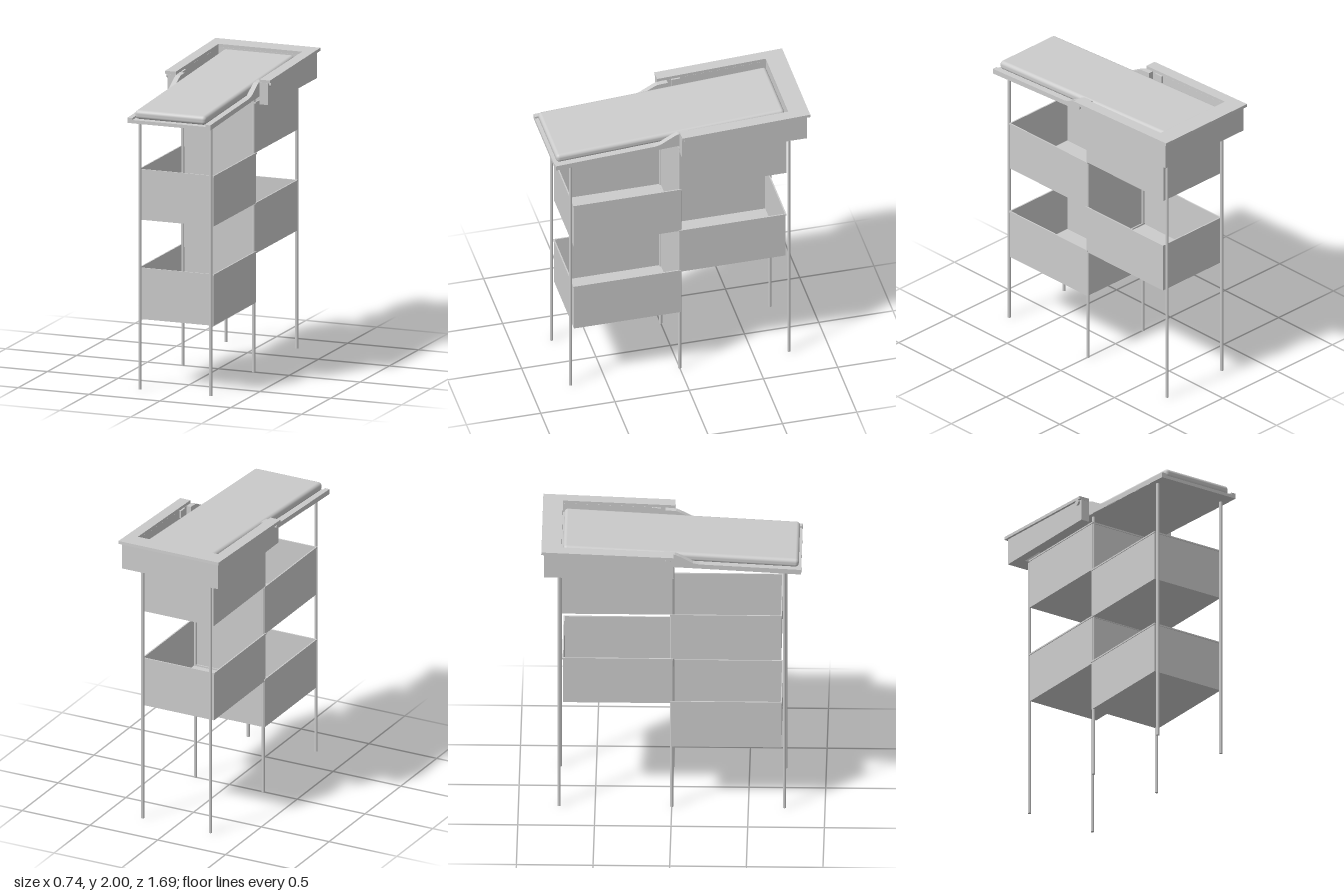
import * as THREE from 'three';
import { RoundedBoxGeometry } from 'three/addons/geometries/RoundedBoxGeometry.js';

const material = new THREE.MeshStandardMaterial({ color: 0xcccccc, side: THREE.DoubleSide });

function add(parent, name, geometry, x = 0, y = 0, z = 0) {
  const mesh = new THREE.Mesh(geometry, material);
  mesh.name = name;
  mesh.position.set(x, y, z);
  parent.add(mesh);
  return mesh;
}

// Box given by its min and max corners
function block(parent, name, [x0, y0, z0], [x1, y1, z1]) {
  const geometry = new THREE.BoxGeometry(x1 - x0, y1 - y0, z1 - z0);
  return add(parent, name, geometry, (x0 + x1) / 2, (y0 + y1) / 2, (z0 + z1) / 2);
}

// Side profile of [z, y] points, extruded across x from x0 to x1
function sideProfile(parent, name, points, x0, x1) {
  const shape = new THREE.Shape(points.map(([z, y]) => new THREE.Vector2(-z, y)));
  const geometry = new THREE.ExtrudeGeometry(shape, { depth: x1 - x0, bevelEnabled: false });
  geometry.rotateY(Math.PI / 2);
  // shape x -> -z, depth -> +x
  return add(parent, name, geometry, x0, 0, 0);
}

// Open-topped bin with thin walls and a narrow rim
function bin(parent, z0, z1, y0, y1) {
  const group = new THREE.Group();
  group.name = 'bin';
  parent.add(group);
  const w = 0.262, t = 0.004;
  block(group, 'binFloor', [-w, y0, z0], [w, y0 + t, z1]);
  const ring = (name, o, thick, a, b) => {
    for (const s of [-1, 1]) {
      const x = s * (w + o - thick / 2);
      block(group, name, [x - thick / 2, a, z0 - o], [x + thick / 2, b, z1 + o]);
    }
    block(group, name, [-w, a, z0 - o], [w, b, z0 - o + thick]);
    block(group, name, [-w, a, z1 + o - thick], [w, b, z1 + o]);
  };
  ring('binWall', 0, t, y0, y1);
  ring('binRim', 0.005, 0.009, y1 - 0.01, y1);
}

export function createModel() {
  const model = new THREE.Group();
  model.name = 'changingTable';

  // Six slender legs
  for (const z of [0.735, 0, -0.735]) {
    const top = z > 0.5 ? 1.815 : 1.85;
    for (const x of [-0.25, 0.25]) {
      add(model, 'leg', new THREE.CylinderGeometry(0.0105, 0.0105, top, 16), x, top / 2, z);
    }
  }

  // Staggered bins
  bin(model, -0.005, 0.715, 0.465, 0.81);
  bin(model, -0.71, 0.005, 0.795, 1.135);
  bin(model, -0.005, 0.715, 1.13, 1.47);
  bin(model, -0.715, 0.005, 1.47, 1.81);

  // Rear surround: side walls and back wall with sloping tops
  const wallTop = (z) => 1.945 - (z - 0.015) * 0.04;
  const wall = (z0, z1) => [[z0, 1.8], [z1, 1.8], [z1, wallTop(z1)], [z0, wallTop(z0)]];
  sideProfile(model, 'surroundSide', wall(0.012, -0.83), 0.295, 0.355);
  sideProfile(model, 'surroundSide', wall(0.012, -0.83), -0.355, -0.295);
  sideProfile(model, 'surroundBack', wall(-0.72, -0.83), -0.295, 0.295);

  // U-shaped sloping cap
  const u = new THREE.Shape([
    [-0.37, -0.012], [-0.37, 0.85], [0.37, 0.85], [0.37, -0.012],
    [0.295, -0.012], [0.295, 0.72], [-0.295, 0.72], [-0.295, -0.012],
  ].map(([x, y]) => new THREE.Vector2(x, y)));
  const capGeometry = new THREE.ExtrudeGeometry(u, { depth: 0.02, bevelEnabled: false });
  capGeometry.rotateX(-Math.PI / 2);
  const cap = add(model, 'surroundCap', capGeometry, 0, 1.946, 0);
  cap.rotation.x = 0.04;

  // Sloping tray under the pad
  sideProfile(model, 'tray',
    [[0.845, 1.803], [-0.72, 1.89], [-0.72, 1.912], [0.845, 1.825]], -0.29, 0.29);

  // Tray side rails that sweep up to the hinges
  const rail = [[0.845, 1.803], [0.845, 1.838], [0.18, 1.873], [0.14, 1.882],
    [0.05, 1.932], [0.02, 1.945], [-0.05, 1.95], [-0.05, 1.855]];
  for (const s of [-1, 1]) {
    const x0 = s > 0 ? 0.258 : -0.292;
    sideProfile(model, 'trayRail', rail, x0, x0 + 0.034);

    // Hinge pin and knob
    const pin = add(model, 'hingePin',
      new THREE.CylinderGeometry(0.012, 0.012, 0.1, 20), s * 0.31, 1.934, -0.022);
    pin.rotation.z = Math.PI / 2;
    const knob = add(model, 'hingeKnob',
      new THREE.CylinderGeometry(0.019, 0.019, 0.014, 24), s * 0.362, 1.934, -0.022);
    knob.rotation.z = Math.PI / 2;

    // Small stop block behind each hinge
    block(model, 'stopBlock', [s * 0.289 - 0.006, 1.9, -0.14], [s * 0.289 + 0.006, 1.95, -0.08]);
  }

  // Soft pad
  const pad = add(model, 'pad', new RoundedBoxGeometry(0.5, 0.06, 1.54, 5, 0.024), 0, 1.9, 0.06);
  pad.rotation.x = 0.056;

  return model;
}
